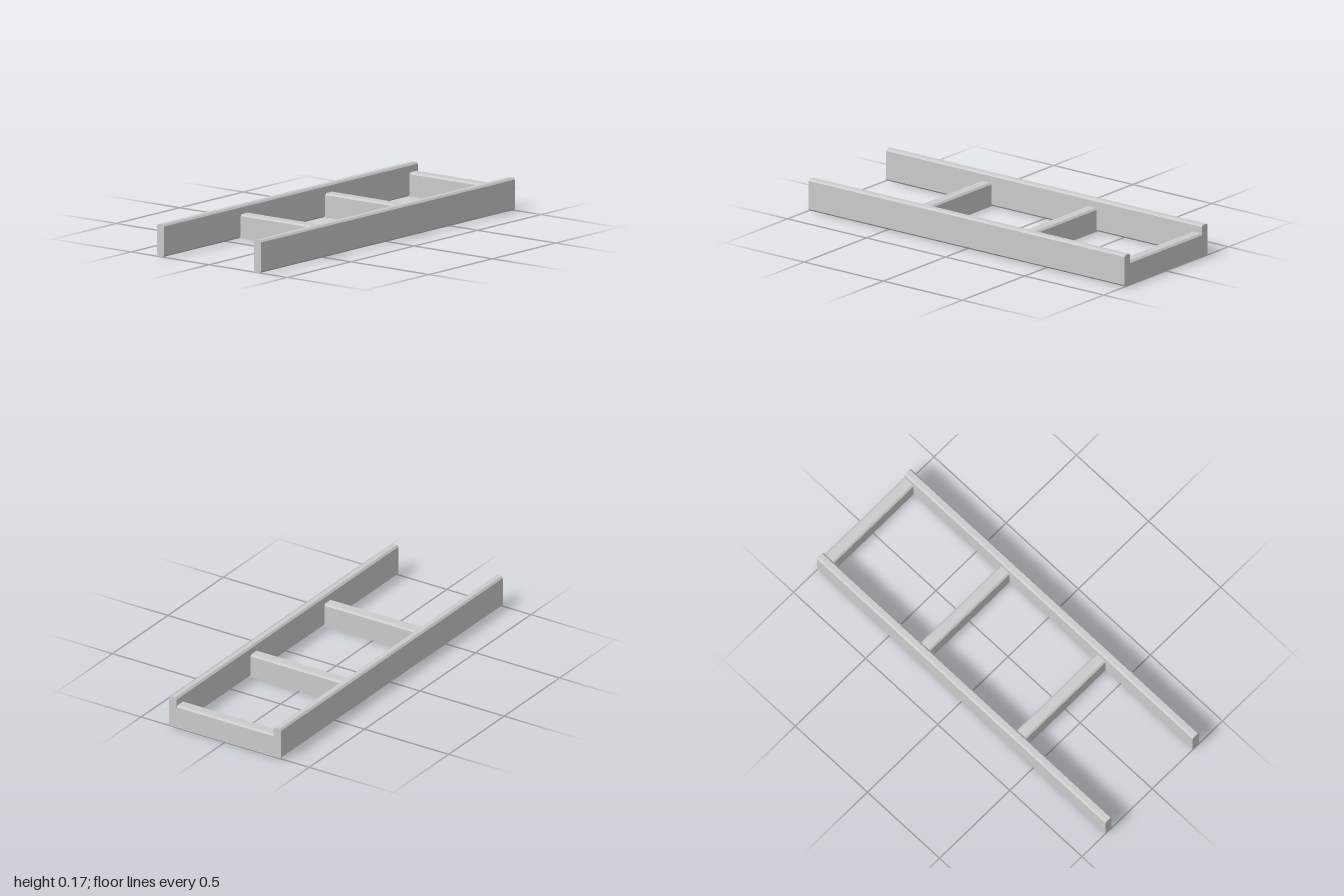
import * as THREE from 'three';

const CHAMFER = 0.009;

// Straight timber: a w x h section standing on y = 0, chamfered on top and optionally below
function timber(name, w, h, length, bottomChamfer, material) {
  const a = w / 2, c = CHAMFER, b = bottomChamfer ? c : 0;
  const section = [[-a + b, 0], [a - b, 0]];
  if (b) section.push([a, b]);
  section.push([a, h - c], [a - c, h], [-a + c, h], [-a, h - c]);
  if (b) section.push([-a, b]);
  else section[0] = [-a, 0];
  const shape = new THREE.Shape(section.map(([x, y]) => new THREE.Vector2(x, y)));
  const geometry = new THREE.ExtrudeGeometry(shape, { depth: length, bevelEnabled: false });
  geometry.translate(0, 0, -length / 2);
  const mesh = new THREE.Mesh(geometry, material);
  mesh.name = name;
  return mesh;
}

export function createModel() {
  const model = new THREE.Group();
  model.name = 'ladderFrame';
  const material = new THREE.MeshStandardMaterial({ color: 0xcccccc, flatShading: true });

  // Two long side rails running along x
  const railWidth = 0.045, halfDepth = 0.333;
  for (const side of [1, -1]) {
    const rail = timber(side > 0 ? 'frontRail' : 'backRail', railWidth, 0.165, 2, true, material);
    rail.rotation.y = Math.PI / 2;
    rail.position.z = side * (halfDepth - railWidth / 2);
    model.add(rail);
  }

  // Three lower cross beams, let slightly into the rails; the last closes the +x end
  const beamWidth = 0.065;
  for (let i = 0; i < 3; i++) {
    const beam = timber('crossBeam' + (i + 1), beamWidth, 0.122, 0.6, false, material);
    beam.position.x = 1 - beamWidth / 2 - (2 - i) * 0.666;
    model.add(beam);
  }
  return model;
}
